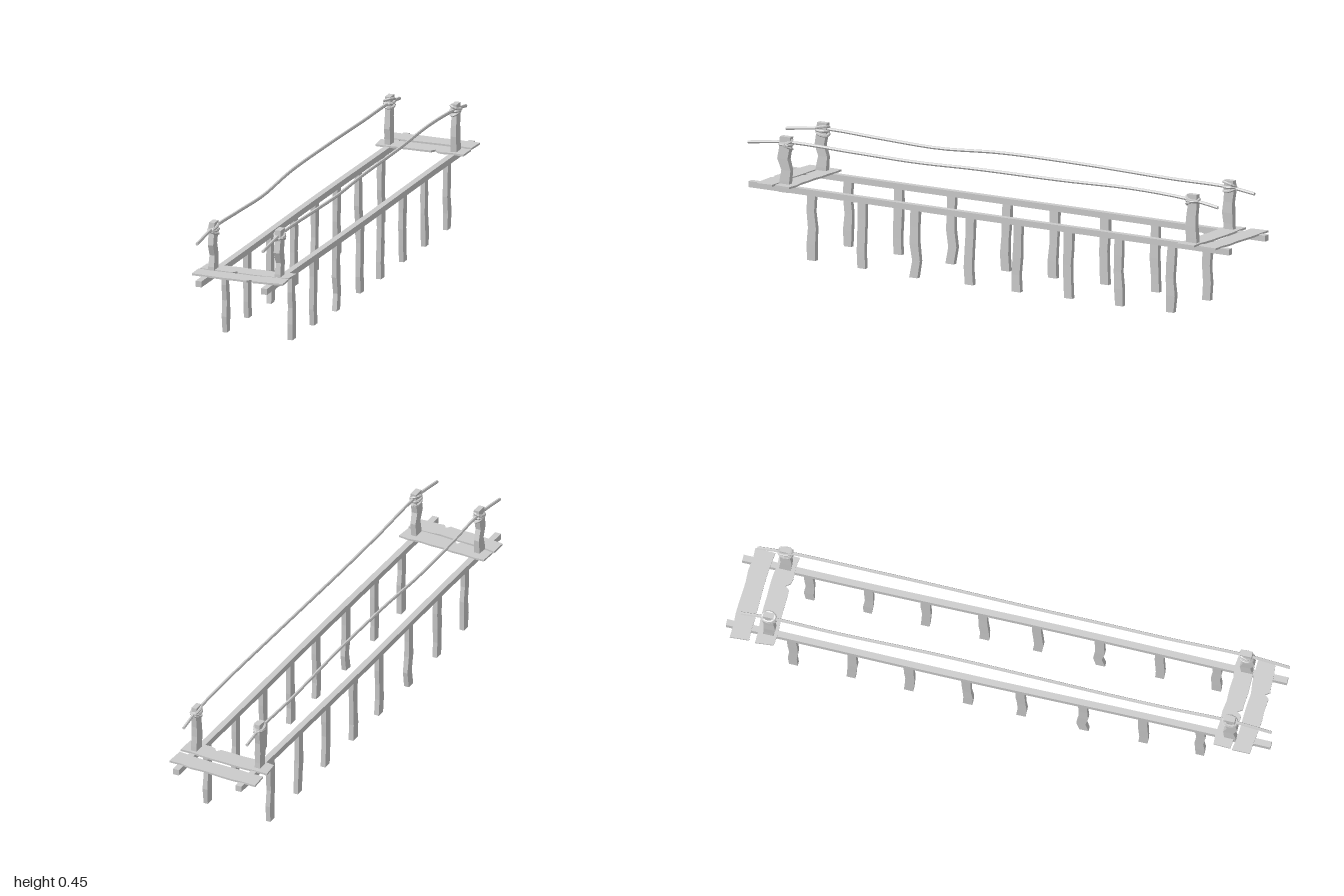
import * as THREE from 'three';

const grey = new THREE.MeshStandardMaterial({ color: 0xcccccc, flatShading: true });

// Small seeded noise in the range -1..1
let seed = 7;
const noise = () => {
  seed = (seed * 16807) % 2147483647;
  return (seed / 2147483647) * 2 - 1;
};

export function createModel() {
  const model = new THREE.Group();
  const add = (name, geometry) => {
    const mesh = new THREE.Mesh(geometry, grey);
    mesh.name = name;
    model.add(mesh);
    return mesh;
  };

  // Upright timber: rows of a box shifted in z (bends run bottom to top) and leaned in x
  const timber = (name, x0, x1, z, y0, y1, w, d, bends) => {
    const rows = bends.length - 1;
    const g = new THREE.BoxGeometry(w, 1, d, 1, rows, 1);
    const p = g.attributes.position;
    const widths = bends.map(() => 1 + noise() * 0.08);
    for (let i = 0; i < p.count; i++) {
      const t = p.getY(i) + 0.5;
      const row = Math.round(t * rows);
      p.setXYZ(i,
        p.getX(i) * widths[row] + x0 + (x1 - x0) * t,
        y0 + (y1 - y0) * t,
        p.getZ(i) * widths[row] + z + bends[row]);
    }
    add(name, g);
  };

  // Plank: rough-edged outline with a small V-shaped chip, extruded upward and slightly tilted
  const plank = (name, z, y, width, bow, chip) => {
    const half = width / 2, left = -0.174, right = 0.17, steps = 8;
    const back = [], front = [];
    for (let i = 0; i <= steps; i++) {
      const t = i / steps, x = left + (right - left) * t;
      const mid = z + bow * (Math.sin(t * Math.PI) - 0.5) + 0.01 * (t - 0.5);
      back.push(new THREE.Vector2(x + noise() * 0.004, -(mid - half + noise() * 0.003)));
      front.push(new THREE.Vector2(x + noise() * 0.004, -(mid + half + noise() * 0.003)));
      if (i === chip) {
        const edge = front[i];
        front.push(
          new THREE.Vector2(edge.x + 0.012, edge.y + 0.016),
          new THREE.Vector2(edge.x + 0.024, edge.y));
      }
    }
    const shape = new THREE.Shape([...front, ...back.reverse()]);
    const g = new THREE.ExtrudeGeometry(shape, { depth: 0.007, bevelEnabled: false });
    g.rotateX(-Math.PI / 2);
    g.rotateZ(0.008);
    g.translate(0, y, 0);
    add(name, g);
  };

  const legZ = [0.728, 0.521, 0.3, 0.075, -0.122, -0.332, -0.54, -0.755];
  const legBends = [
    [0, 0.001, -0.003, 0.004, 0.001],
    [0, 0.003, 0.001, -0.001, 0],
    [0.006, -0.005, 0.004, 0.003, 0.001],
    [0.001, 0.006, 0.003, -0.001, -0.002],
    [0.004, 0.006, 0.001, -0.001, -0.002],
    [-0.001, 0.002, 0.004, 0, -0.001],
    [-0.003, -0.001, 0.003, 0.001, 0],
    [0.002, -0.002, 0.003, -0.001, -0.005],
  ];
  // Height of the ropes along z, one list per side
  const ropes = {
    '-1': [[0.99, 0.412], [0.84, 0.43], [0.6, 0.422], [0.36, 0.416], [0.1, 0.43], [-0.25, 0.43], [-0.6, 0.421], [-0.84, 0.42], [-0.945, 0.407]],
    '1': [[0.995, 0.413], [0.84, 0.432], [0.55, 0.427], [0.3, 0.423], [0.05, 0.428], [-0.3, 0.43], [-0.6, 0.435], [-0.84, 0.424], [-0.945, 0.408]],
  };

  for (const s of [-1, 1]) {
    const side = s > 0 ? 'left' : 'right';
    const x = s * 0.126;

    // Long beam, sloping gently down to the back
    const beam = new THREE.BoxGeometry(0.023, 0.022, 1.985, 1, 1, 10);
    const p = beam.attributes.position;
    for (let i = 0; i < p.count; i++) {
      const z = p.getZ(i);
      p.setX(i, p.getX(i) + x + 0.002 * Math.sin(z * 4 + s));
      p.setY(i, p.getY(i) + 0.2585 + 0.0045 * z);
      p.setZ(i, z - 0.006);
    }
    add(side + 'Beam', beam);

    // Crooked legs under the beam
    legZ.forEach((z, i) => {
      const foot = i === 0 ? 0.016 : i === 1 ? 0.012 : 0.004 + (i % 2) * 0.002;
      const footX = s > 0 ? 0.127 : -0.123;
      timber(side + 'Leg' + (i + 1), footX, x, z, i === 7 && s < 0 ? 0 : foot, 0.252, 0.018, 0.033, legBends[i]);
    });

    // Posts with wound rope knots
    for (const end of [1, -1]) {
      const place = side + (end > 0 ? 'Front' : 'Back');
      const z = end > 0 ? 0.838 : -0.843;
      const px = s > 0 ? 0.125 : -0.128;
      const bends = end > 0
        ? [0.004, 0.001, -0.005, 0.009, 0.001, -0.002]
        : [-0.001, 0.001, 0.004, 0.002, -0.003, -0.001];
      timber(place + 'Post', px, px, z, 0.25, end > 0 ? 0.453 : 0.446, 0.021, 0.04, bends);
      for (let k = 0; k < 3; k++) {
        const ring = new THREE.TorusGeometry(0.017, 0.0055, 6, 12);
        ring.rotateX(Math.PI / 2);
        ring.scale(1, 1, 1.35);
        const knot = add(place + 'Knot' + (k + 1), ring);
        knot.position.set(px, (end > 0 ? 0.415 : 0.413) + k * 0.009, z);
        knot.rotation.set((k - 1) * 0.25 * end, 0, (1 - k) * 0.35 * s);
      }
    }

    // Hand rope
    const rx = s > 0 ? 0.124 : -0.129;
    const path = new THREE.CatmullRomCurve3(ropes[s].map(([z, y], i) =>
      new THREE.Vector3(rx + (i % 2 ? 0.001 : -0.001), y, z)));
    add(side + 'Rope', new THREE.TubeGeometry(path, 32, 0.006, 6, false));
    // Closed rope ends
    for (const [i, turn] of [[0, 0], [ropes[s].length - 1, Math.PI]]) {
      const [z, y] = ropes[s][i];
      const cap = add(side + (i ? 'BackRopeEnd' : 'FrontRopeEnd'), new THREE.CircleGeometry(0.006, 6));
      cap.position.set(rx - 0.001, y, z);
      cap.rotation.y = turn;
    }
  }

  // Deck planks left at both ends
  plank('backPlankOuter', -0.935, 0.263, 0.068, -0.006, -1);
  plank('backPlankInner', -0.845, 0.263, 0.07, -0.004, 5);
  plank('frontPlankInner', 0.825, 0.273, 0.066, 0.004, 3);
  plank('frontPlankOuter', 0.899, 0.273, 0.066, 0.006, 5);

  return model;
}
